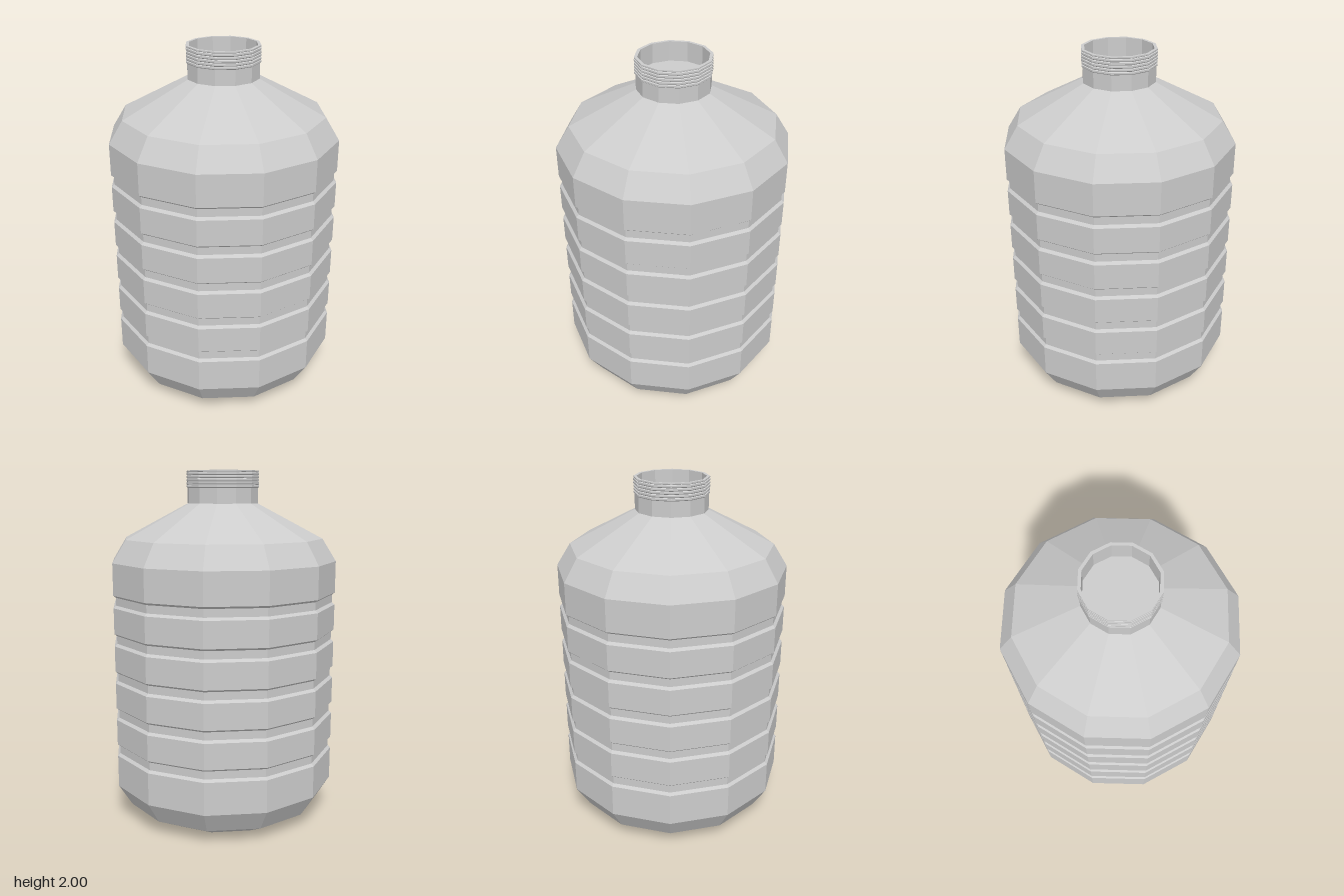
import * as THREE from 'three';

const SIDES = 12;

// Faceted surface of revolution from [radius, height] pairs
function turned(name, profile, material) {
  const points = profile.map(([r, y]) => new THREE.Vector2(r, y));
  const mesh = new THREE.Mesh(new THREE.LatheGeometry(points, SIDES), material);
  mesh.name = name;
  return mesh;
}

export function createModel() {
  const group = new THREE.Group();
  group.name = 'bottle';
  const plastic = new THREE.MeshStandardMaterial({ color: 0xcccccc });
  plastic.name = 'grey plastic';
  plastic.flatShading = true;

  // Body: tapered base, five grooves, sloping shoulder
  const R = 0.648, groove = 0.633;
  const body = [[0, 0], [0.42, 0], [0.57, 0.08], [R, 0.205]];
  for (let i = 0; i < 5; i++) {
    const y = 0.39 + i * 0.2155;
    body.push([R, y], [groove, y + 0.014], [groove, y + 0.058], [R, y + 0.07]);
  }
  body.push([R, 1.5], [0.57, 1.625], [0.2, 1.82]);
  group.add(turned('body', body, plastic));

  // Neck: shallow thread ridges outside, open mouth with a recessed floor
  const neck = [[0.202, 1.82], [0.202, 1.905]];
  for (let i = 0; i < 5; i++) {
    const y = 1.91 + i * 0.017;
    neck.push([0.208, y], [0.208, y + 0.009], [0.203, y + 0.012]);
  }
  neck.push([0.207, 1.993], [0.207, 2], [0.19, 2], [0.19, 1.89], [0, 1.89]);
  group.add(turned('neck', neck, plastic));

  return group;
}
